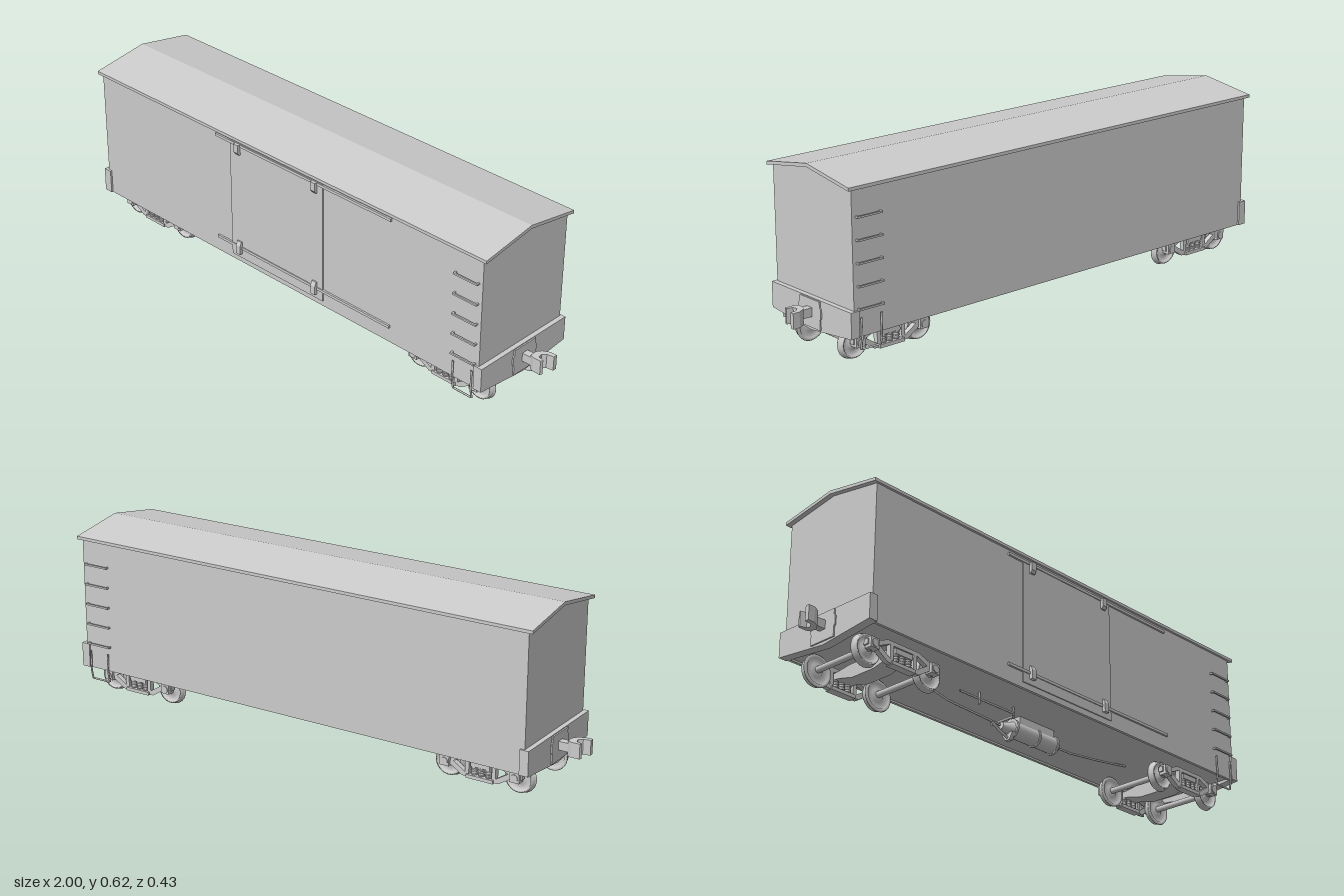
import * as THREE from 'three';

const mat = new THREE.MeshStandardMaterial({ color: 0xcccccc, side: THREE.DoubleSide });
const V = (x, y, z) => new THREE.Vector3(x, y, z);

function add(parent, name, geo, x = 0, y = 0, z = 0) {
  const m = new THREE.Mesh(geo, mat);
  m.name = name;
  m.position.set(x, y, z);
  parent.add(m);
  return m;
}
// box given by its two extreme corners
function box(parent, name, x0, x1, y0, y1, z0, z1) {
  return add(parent, name, new THREE.BoxGeometry(x1 - x0, y1 - y0, z1 - z0),
    (x0 + x1) / 2, (y0 + y1) / 2, (z0 + z1) / 2);
}
const shapeOf = pts => new THREE.Shape(pts.map(p => new THREE.Vector2(...p)));
const extrude = (shape, depth) => new THREE.ExtrudeGeometry(shape, { depth, bevelEnabled: false });
// (z, y) section swept along x from x0 to x1
function alongX(pts, x0, x1) {
  return extrude(shapeOf(pts), x1 - x0).rotateY(-Math.PI / 2).translate(x1, 0, 0);
}
// rod through straight segments
function rod(parent, name, pts, r = 0.004) {
  const path = new THREE.CurvePath();
  for (let i = 1; i < pts.length; i++) path.add(new THREE.LineCurve3(V(...pts[i - 1]), V(...pts[i])));
  return add(parent, name, new THREE.TubeGeometry(path, pts.length * 10, r, 6));
}
const cylX = (r0, r1, len, n = 20) => new THREE.CylinderGeometry(r1, r0, len, n).rotateZ(-Math.PI / 2);
const cylZ = (r, len, n = 16) => new THREE.CylinderGeometry(r, r, len, n).rotateX(Math.PI / 2);

function makeTruck() {
  const truck = new THREE.Group();
  truck.name = 'truck';
  const wheelProfile = [[0, 0.002], [0.018, 0], [0.022, 0.005], [0.041, 0.006], [0.044, 0], [0.053, 0],
    [0.055, 0.003], [0.054, 0.006], [0.05, 0.009], [0.049, 0.022], [0.043, 0.022], [0.04, 0.014],
    [0.022, 0.012], [0.016, 0.022], [0, 0.022]].map(p => new THREE.Vector2(...p));
  for (const x of [-0.128, 0.128]) {
    add(truck, 'axle', cylZ(0.011, 0.27), x, 0.058, 0);
    for (const s of [-1, 1]) {
      const wheel = add(truck, 'wheel', new THREE.LatheGeometry(wheelProfile, 32).rotateX(Math.PI / 2), x, 0.055, s * 0.103);
      if (s < 0) wheel.rotation.y = Math.PI;
      box(truck, 'journalBox', x - 0.017, x + 0.017, 0.05, 0.085, s * 0.142 - 0.014, s * 0.142 + 0.014);
      add(truck, 'journalLid', cylZ(0.013, 0.004), x, 0.066, s * 0.157);
    }
  }
  // side frames with a spring window and two triangular openings
  const frame = shapeOf([[-0.15, 0.06], [-0.11, 0.055], [-0.066, 0.027], [0.066, 0.027], [0.11, 0.055],
    [0.15, 0.06], [0.15, 0.078], [0.11, 0.084], [0.066, 0.102], [-0.066, 0.102], [-0.11, 0.084], [-0.15, 0.078]]);
  const hole = pts => frame.holes.push(new THREE.Path(pts.map(p => new THREE.Vector2(...p))));
  hole([[-0.042, 0.037], [-0.042, 0.088], [0.042, 0.088], [0.042, 0.037]]);
  for (const s of [-1, 1]) hole([[s * 0.056, 0.042], [s * 0.056, 0.09], [s * 0.1, 0.07]]);
  for (const s of [-1, 1]) {
    add(truck, 'sideFrame', extrude(frame, 0.018), 0, 0, s * 0.137 - 0.009);
    box(truck, 'springPlank', -0.05, 0.05, 0.025, 0.037, s * 0.137 - 0.016, s * 0.137 + 0.013);
    for (const x of [-0.026, 0, 0.026]) {
      add(truck, 'spring', new THREE.CylinderGeometry(0.01, 0.01, 0.03, 12), x, 0.05, s * 0.137);
      for (const y of [0.041, 0.05, 0.059])
        add(truck, 'springCoil', new THREE.TorusGeometry(0.01, 0.002, 6, 12).rotateX(Math.PI / 2), x, y, s * 0.137);
    }
  }
  // bolster, deeper towards its middle
  add(truck, 'bolster', alongX([[-0.148, 0.066], [-0.11, 0.062], [-0.05, 0.047], [0.05, 0.047], [0.11, 0.062],
    [0.148, 0.066], [0.148, 0.084], [0.06, 0.095], [-0.06, 0.095], [-0.148, 0.084]], -0.035, 0.035));
  add(truck, 'centrePlate', new THREE.CylinderGeometry(0.035, 0.035, 0.025, 20), 0, 0.1, 0);
  return truck;
}

// end sill, coupler pocket and coupler for the +x end
function makeEnd() {
  const end = new THREE.Group();
  end.name = 'carEnd';
  add(end, 'endSill', alongX([[-0.207, 0.106], [0, 0.084], [0.207, 0.106], [0.207, 0.193], [-0.207, 0.193]], 0.87, 0.902));
  add(end, 'couplerPlate', alongX([[-0.052, 0.095], [0.052, 0.095], [0.052, 0.13], [0.057, 0.135], [0.057, 0.165],
    [0.052, 0.17], [0.052, 0.19], [-0.052, 0.19], [-0.052, 0.17], [-0.057, 0.165], [-0.057, 0.135], [-0.052, 0.13]], 0.9, 0.907));
  box(end, 'couplerShank', 0.9, 0.95, 0.132, 0.162, -0.013, 0.013);
  const head = shapeOf([[0.94, 0.013], [0.955, 0.02], [0.985, 0.02], [0.988, 0.01], [0.966, 0.004], [0.963, -0.012],
    [0.975, -0.024], [1, -0.028], [1, -0.043], [0.975, -0.042], [0.952, -0.03], [0.94, -0.013]]);
  add(end, 'couplerHead', extrude(head, 0.052).rotateX(Math.PI / 2), 0, 0.172, 0);
  return end;
}

function makeBrakeGear() {
  const gear = new THREE.Group();
  gear.name = 'brakeGear';
  add(gear, 'brakeCylinder', cylX(0.03, 0.03, 0.2), 0.035, 0.069, 0);
  for (const x of [-0.065, 0.045, 0.135]) add(gear, 'cylinderFlange', cylX(0.034, 0.034, 0.008), x, 0.069, 0);
  add(gear, 'cylinderNose', cylX(0.012, 0.028, 0.05), -0.09, 0.065, 0);
  add(gear, 'cylinderCap', cylX(0.016, 0.012, 0.025), 0.15, 0.069, 0);
  box(gear, 'cylinderMount', -0.05, 0.12, 0.085, 0.12, -0.025, 0.025);
  add(gear, 'leverBracket', alongX([[-0.025, 0.048], [-0.01, 0.022], [0.01, 0.022], [0.025, 0.048]], -0.085, -0.07));
  rod(gear, 'leverRod', [[-0.16, 0.066, 0], [-0.12, 0.045, 0], [-0.075, 0.028, 0]], 0.005);
  rod(gear, 'leftPullRod', [[0.15, 0.069, 0], [0.23, 0.07, 0], [0.36, 0.085, 0], [0.52, 0.108, 0]]);
  rod(gear, 'rightPullRod', [[-0.12, 0.066, 0], [-0.36, 0.076, 0], [-0.52, 0.108, 0]]);
  rod(gear, 'brakeLever', [[-0.13, 0.072, -0.03], [-0.13, 0.072, 0.07]], 0.005);
  rod(gear, 'brakePipe', [[-0.37, 0.09, 0.06], [-0.12, 0.09, 0.06]]);
  for (const x of [-0.28, -0.12]) rod(gear, 'pipeHanger', [[x, 0.125, 0.06], [x, 0.07, 0.06]]);
  return gear;
}

export function createModel() {
  const car = new THREE.Group();
  car.name = 'boxcar';

  // body and pitched roof
  add(car, 'body', alongX([[-0.2, 0.112], [0.2, 0.112], [0.2, 0.582], [0, 0.615], [-0.2, 0.582]], -0.885, 0.885));
  for (const s of [-1, 1]) box(car, 'sideSill', -0.885, 0.885, 0.105, 0.115, s * 0.195 - 0.005, s * 0.195 + 0.005);
  add(car, 'roof', alongX([[-0.21, 0.579], [0, 0.613], [0.21, 0.579], [0.21, 0.59], [0, 0.625], [-0.21, 0.59]], -0.902, 0.902));

  // sliding door with rails and hangers on the front side
  box(car, 'door', -0.225, 0.21, 0.125, 0.572, 0.198, 0.204);
  for (const y of [0.565, 0.165]) box(car, 'doorRail', -0.295, 0.51, y - 0.005, y + 0.005, 0.198, 0.207);
  const topHanger = [[0.2, 0.57], [0.216, 0.57], [0.216, 0.54], [0.209, 0.53], [0.2, 0.53]];
  const lowHanger = [[0.2, 0.143], [0.216, 0.143], [0.216, 0.175], [0.209, 0.19], [0.2, 0.19]];
  for (const x of [-0.185, 0.175]) {
    add(car, 'doorHanger', alongX(topHanger, x - 0.01, x + 0.01));
    add(car, 'doorGuide', alongX(lowHanger, x - 0.01, x + 0.01));
  }

  // grab irons and stirrup steps at the left end of both sides
  for (const s of [-1, 1]) {
    for (let i = 0; i < 5; i++) {
      const y = 0.197 + i * 0.0738;
      box(car, 'grabIron', 0.775, 0.872, y - 0.003, y + 0.003, s * 0.21 - 0.003, s * 0.21 + 0.003);
      for (const x of [0.778, 0.869]) box(car, 'grabIronFoot', x - 0.003, x + 0.003, y - 0.003, y + 0.003, s * 0.204 - 0.006, s * 0.204 + 0.006);
    }
    rod(car, 'stirrupStep', [[0.785, 0.17, s * 0.207], [0.785, 0.1, s * 0.208], [0.785, 0.064, s * 0.201],
      [0.862, 0.064, s * 0.201], [0.862, 0.1, s * 0.208], [0.862, 0.17, s * 0.207]], 0.0035);
  }

  // matching ends and trucks, turned half round
  for (const s of [-1, 1]) {
    const end = makeEnd();
    if (s < 0) end.rotation.y = Math.PI;
    const truck = makeTruck();
    truck.position.x = s * 0.7;
    car.add(end, truck);
  }
  car.add(makeBrakeGear());
  return car;
}
